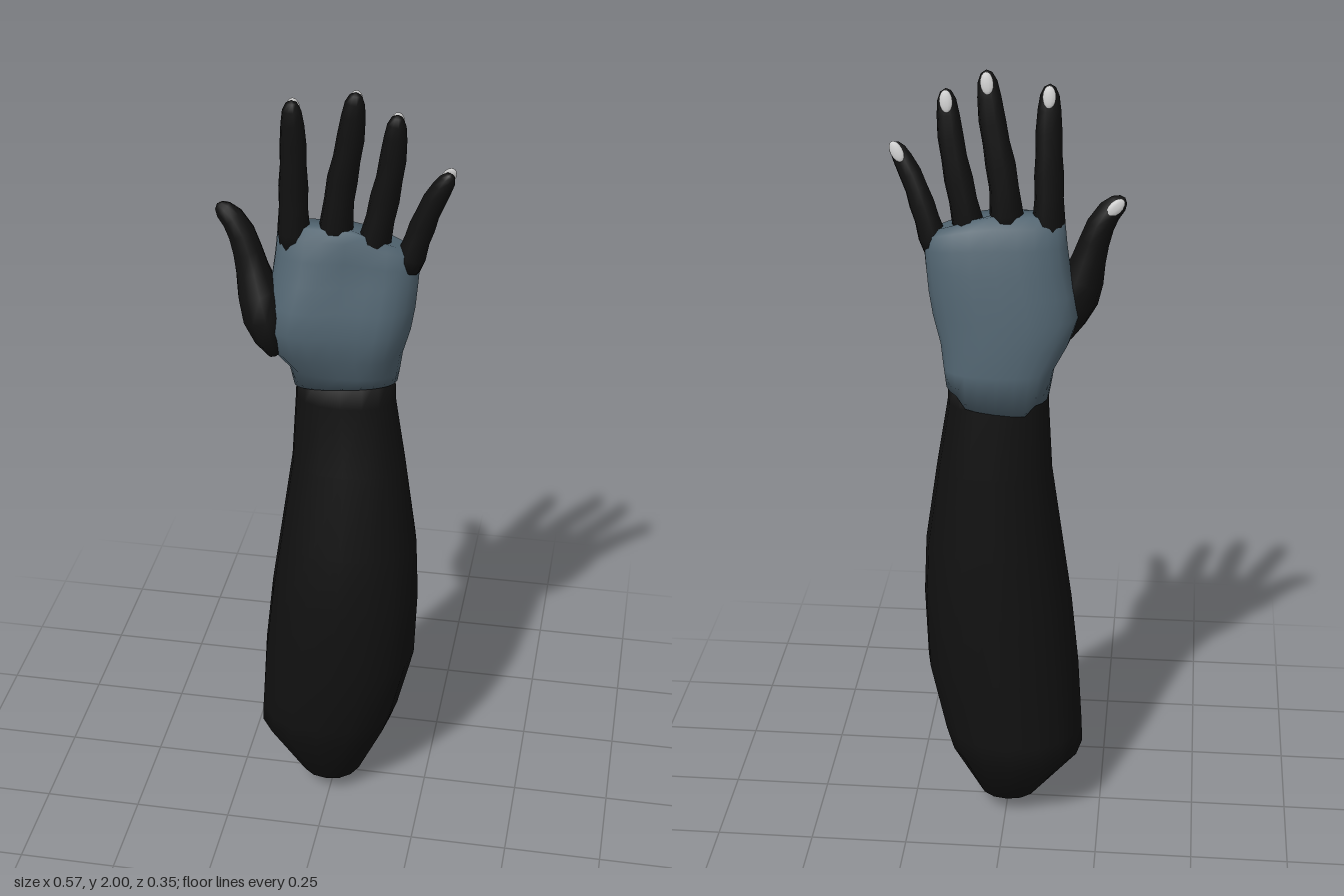
import * as THREE from 'three';

const black = new THREE.MeshStandardMaterial({ color: 0x101010 });
const slate = new THREE.MeshStandardMaterial({ color: 0x50636f });
const grey = new THREE.MeshStandardMaterial({ color: 0xcccccc });

// Skin a list of equal rings, closing each end on a given point.
function loft(rings, start, end) {
  const n = rings[0].length;
  const verts = [...rings.flat(), start, end];
  const index = [];
  const last = (rings.length - 1) * n;
  for (let j = 0; j < n; j++) {
    const k = (j + 1) % n;
    for (let i = 0; i < rings.length - 1; i++) {
      const a = i * n + j, b = i * n + k;
      index.push(a, a + n, b, b, a + n, b + n);
    }
    index.push(verts.length - 2, j, k);
    index.push(verts.length - 1, last + k, last + j);
  }
  const geo = new THREE.BufferGeometry().setFromPoints(verts);
  geo.setIndex(index);
  geo.computeVertexNormals();
  return geo;
}

const V = (x, y, z) => new THREE.Vector3(x, y, z);
const power = (v, p) => Math.sign(v) * Math.abs(v) ** p;

// Horizontal rounded ring filling the box x0..x1, z0..z1 at height y.
function slice([y, x0, x1, z0, z1], n, p) {
  return Array.from({ length: n }, (_, j) => {
    const t = (j / n) * Math.PI * 2;
    return V(
      (x0 + x1) / 2 + ((x1 - x0) / 2) * power(Math.cos(t), p), y,
      (z0 + z1) / 2 + ((z1 - z0) / 2) * power(Math.sin(t), p));
  });
}

function addMesh(parent, name, geo, mat) {
  const mesh = new THREE.Mesh(geo, mat);
  mesh.name = name;
  parent.add(mesh);
  return mesh;
}

function makeForearm(group) {
  const slices = [
    [0.05, -0.09, 0.08, -0.1, 0.11],
    [0.19, -0.2, 0.15, -0.175, 0.155],
    [0.25, -0.197, 0.17, -0.172, 0.167],
    [0.43, -0.185, 0.213, -0.16, 0.175],
    [0.62, -0.165, 0.22, -0.147, 0.162],
    [0.78, -0.142, 0.213, -0.135, 0.143],
    [1.0, -0.112, 0.18, -0.116, 0.095],
    [1.18, -0.103, 0.15, -0.104, 0.062],
    [1.27, -0.1, 0.148, -0.092, 0.058],
  ].map((s) => slice(s, 16, 0.9));
  addMesh(group, 'forearm', loft(slices, V(0, 0, 0.01), V(0.02, 1.27, -0.02)), black);
}

function makePalm(group) {
  const slices = [
    [1.21, -0.104, 0.153, -0.105, 0.064],
    [1.27, -0.115, 0.16, -0.1, 0.075],
    [1.33, -0.15, 0.17, -0.094, 0.118],
    [1.4, -0.175, 0.19, -0.085, 0.133],
    [1.46, -0.165, 0.2, -0.075, 0.125],
    [1.52, -0.15, 0.205, -0.064, 0.105],
    [1.58, -0.142, 0.208, -0.05, 0.085],
    [1.63, -0.137, 0.208, -0.035, 0.068],
    [1.655, -0.12, 0.19, -0.015, 0.052],
  ].map((s) => slice(s, 24, 0.8));
  slices.forEach((ring, i) => ring.forEach((v) => {
    // hollow in the palm, and a thinner little-finger side
    if (v.z > 0.04) {
      const belly = Math.sin(Math.PI * Math.min(1, Math.max(0, (v.y - 1.26) / 0.38)));
      v.z -= belly * (0.03 * Math.exp(-(((v.x - 0.04) / 0.06) ** 2)) + 0.1 * Math.max(0, v.x));
    }
    // wrist edge dips at the back, knuckle edge falls towards the little finger
    if (i === 0) v.y += 0.2 * v.z + 0.1 * v.x + (v.z < -0.09 ? -0.015 : 0.01);
    if (i > 5) v.y -= 0.35 * Math.max(0, v.x - 0.06) * (i - 5) / 3;
  }));
  addMesh(group, 'palm', loft(slices, V(0.02, 1.24, -0.02), V(0.02, 1.655, 0.02)), slate);
}

// Digit along a path: stops are [position 0..1, half width, half depth].
function makeDigit(group, name, path, stops) {
  const digit = new THREE.Group();
  digit.name = name;
  const curve = new THREE.CatmullRomCurve3(path.map((p) => V(...p)));
  const sideOf = (d) => V(d.y, -d.x, 0).normalize();
  const rings = stops.map(([u, w, h]) => {
    const c = curve.getPointAt(u), side = sideOf(curve.getTangentAt(u));
    return Array.from({ length: 10 }, (_, j) => {
      const t = (j / 10) * Math.PI * 2;
      return c.clone().addScaledVector(side, w * Math.cos(t)).add(V(0, 0, h * Math.sin(t)));
    });
  });
  addMesh(digit, name + 'Skin', loft(rings, curve.getPointAt(0), curve.getPointAt(1)), black);

  // nail on the back of the tip
  const d = curve.getTangentAt(0.93);
  const nail = addMesh(digit, name + 'Nail', new THREE.SphereGeometry(1, 10, 8), grey);
  nail.scale.set(0.016, 0.027, 0.006);
  nail.position.copy(curve.getPointAt(0.93)).add(V(0, 0, -0.019));
  nail.rotation.set(0.22, 0, Math.atan2(-d.x, d.y), 'ZXY');
  group.add(digit);
}

export function createModel() {
  const group = new THREE.Group();
  group.name = 'arm';
  makeForearm(group);
  makePalm(group);

  // fingers swell slightly at the joints
  const finger = [
    [0, 0.036, 0.04], [0.12, 0.04, 0.043], [0.28, 0.035, 0.036], [0.42, 0.036, 0.036],
    [0.56, 0.032, 0.031], [0.7, 0.032, 0.029], [0.84, 0.028, 0.025],
    [0.93, 0.023, 0.02], [0.98, 0.014, 0.012],
  ];
  const scaled = (k) => finger.map(([u, w, h]) => [u, w * k, h * k]);
  makeDigit(group, 'indexFinger',
    [[-0.096, 1.59, 0.02], [-0.096, 1.72, 0.022], [-0.094, 1.85, 0.028], [-0.095, 1.97, 0.038]], scaled(1));
  makeDigit(group, 'middleFinger',
    [[0.002, 1.61, 0.015], [0.015, 1.74, 0.018], [0.041, 1.88, 0.028], [0.056, 2, 0.04]], scaled(1.02));
  makeDigit(group, 'ringFinger',
    [[0.09, 1.58, 0.02], [0.115, 1.7, 0.022], [0.14, 1.83, 0.03], [0.153, 1.953, 0.042]], scaled(0.98));
  makeDigit(group, 'littleFinger',
    [[0.178, 1.56, 0.018], [0.205, 1.65, 0.022], [0.238, 1.74, 0.032], [0.28, 1.818, 0.042]], scaled(0.87));

  makeDigit(group, 'thumb',
    [[-0.135, 1.315, 0.06], [-0.16, 1.42, 0.058], [-0.184, 1.5, 0.048], [-0.205, 1.58, 0.038],
      [-0.232, 1.65, 0.034], [-0.278, 1.697, 0.034]],
    [[0.03, 0.018, 0.03], [0.14, 0.04, 0.06], [0.28, 0.056, 0.068], [0.42, 0.052, 0.058],
      [0.55, 0.042, 0.044], [0.67, 0.037, 0.038], [0.78, 0.034, 0.034], [0.88, 0.03, 0.028],
      [0.95, 0.024, 0.021], [0.985, 0.014, 0.012]]);
  return group;
}
